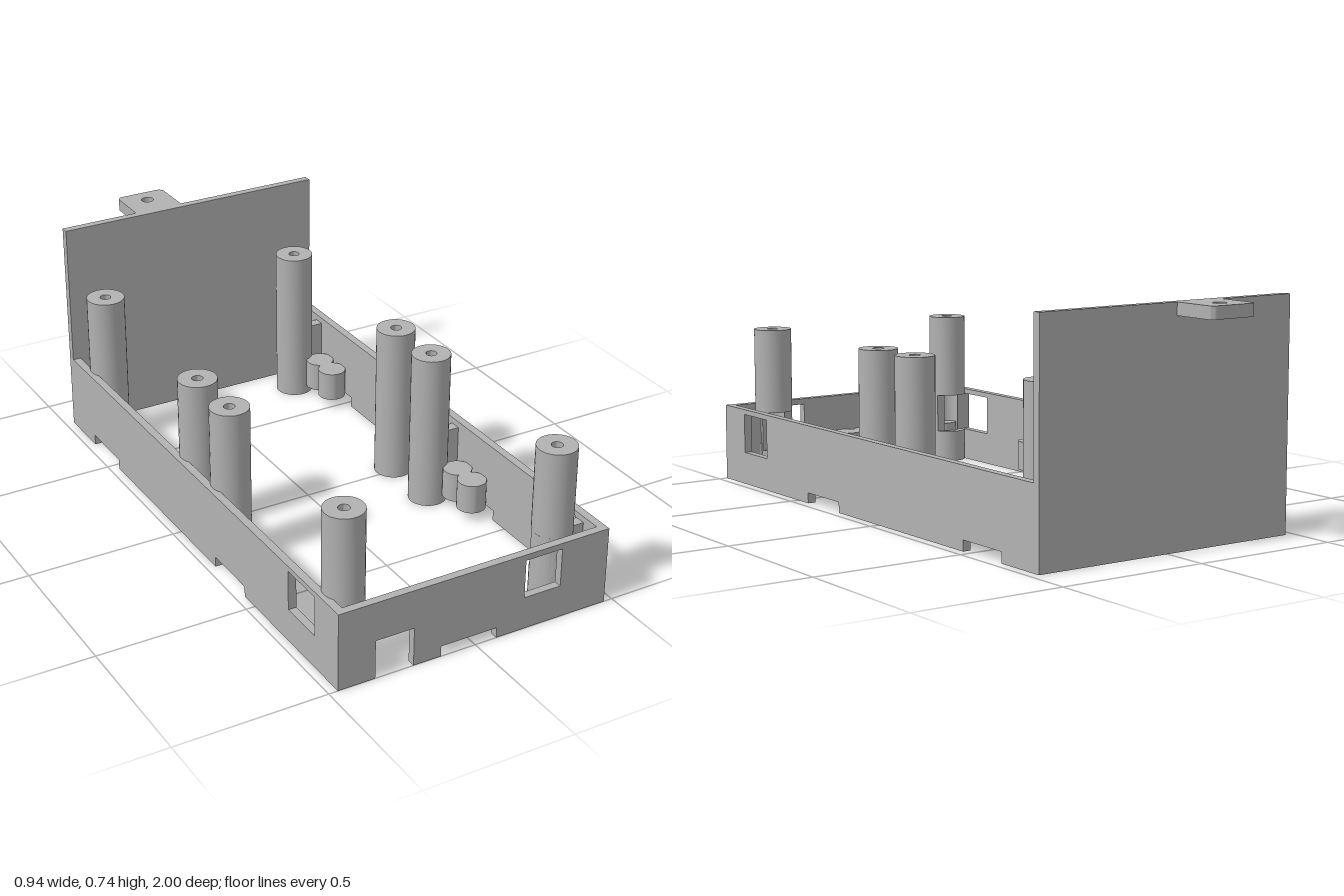
import * as THREE from 'three';
import { toCreasedNormals } from 'three/addons/utils/BufferGeometryUtils.js';

const W = 0.47, T = 0.027, WALL_H = 0.26;
const POST_R = 0.064, BORE_R = 0.038, POST_TOP = 0.53;
const CUT_LOW = 0.11, CUT_HIGH = 0.243, CUT_Z = 0.865;

export function createModel() {
  const group = new THREE.Group();
  const grey = new THREE.MeshStandardMaterial({ color: 0xb2b2b2 });

  function add(name, geometry, x = 0, y = 0, z = 0) {
    const mesh = new THREE.Mesh(geometry, grey);
    mesh.name = name;
    mesh.position.set(x, y, z);
    group.add(mesh);
    return mesh;
  }
  function box(name, x0, x1, y0, y1, z0, z1) {
    add(name, new THREE.BoxGeometry(x1 - x0, y1 - y0, z1 - z0), (x0 + x1) / 2, (y0 + y1) / 2, (z0 + z1) / 2);
  }
  const outline = (pairs) => pairs.map(([a, b]) => new THREE.Vector2(a, b));
  const extrude = (shape, depth) =>
    toCreasedNormals(new THREE.ExtrudeGeometry(shape, { depth, bevelEnabled: false, curveSegments: 24 }), 0.6);
  const turned = (profile) => toCreasedNormals(new THREE.LatheGeometry(outline(profile), 32), 0.6);

  // Wall panel with notches [start, end, height] along its foot and one window
  function wallPanel(start, end, notches, [wx0, wx1, wy0, wy1]) {
    const pts = [[start, 0]];
    for (const [a, b, h] of notches) pts.push([a, 0], [a, h], [b, h], [b, 0]);
    pts.push([end, 0], [end, WALL_H], [start, WALL_H]);
    const shape = new THREE.Shape(outline(pts));
    shape.holes.push(new THREE.Path(outline([[wx0, wy0], [wx0, wy1], [wx1, wy1], [wx1, wy0]])));
    return extrude(shape, T);
  }

  // Frame walls
  add('frontWall', wallPanel(-W, W,
    [[-0.345, -0.215, 0.13], [-0.12, 0.075, 0.035]], [0.17, 0.3, CUT_LOW, 0.24]), 0, 0, 1 - T);
  for (const [name, x] of [['leftWall', W], ['rightWall', -W + T]]) {
    const side = wallPanel(-0.82, 1 - T,
      [[-0.665, -0.47, 0.035], [0.24, 0.435, 0.035]], [0.71, CUT_Z, CUT_LOW, CUT_HIGH]);
    side.rotateY(-Math.PI / 2);
    add(name, side, x);
  }
  box('backPanel', -W, W, 0, 0.743, -0.847, -0.82);

  // Mounting tab with rounded outer corners and a screw hole
  const tab = new THREE.Shape();
  const r = 0.02, tx0 = -0.197, tx1 = -0.026;
  tab.moveTo(tx0, 0.84);
  tab.lineTo(tx1, 0.84);
  tab.absarc(tx1 - r, 1 - r, r, 0, Math.PI / 2, false);
  tab.absarc(tx0 + r, 1 - r, r, Math.PI / 2, Math.PI, false);
  tab.closePath();
  tab.holes.push(new THREE.Path().absarc(-0.111, 0.935, 0.021, 0, Math.PI * 2, true));
  add('mountingTab', extrude(tab, 0.04).rotateX(-Math.PI / 2), 0, 0.703, 0);

  // Tall post: small hole at the top, wider bore from below
  const post = (y0) => turned([
    [BORE_R, y0], [POST_R, y0], [POST_R, POST_TOP], [0.018, POST_TOP],
    [0.018, 0.48], [BORE_R, 0.48], [BORE_R, y0],
  ]);
  // Ring section of a post that the side window passes through
  function cutSection(offset) {
    const a = Math.asin(offset / POST_R), b = Math.asin(offset / BORE_R);
    const shape = new THREE.Shape();
    shape.absarc(0, 0, POST_R, Math.PI - a, Math.PI * 2 + a, false);
    shape.absarc(0, 0, BORE_R, Math.PI * 2 + b, Math.PI - b, true);
    shape.closePath();
    return extrude(shape, CUT_HIGH - CUT_LOW).rotateX(-Math.PI / 2);
  }
  for (const x of [-0.39, 0.34]) {
    for (const z of [-0.7, -0.015, 0.2]) add('post', post(0), x, 0, z);
    const z = 0.89;
    add('frontPostFoot', turned([
      [BORE_R, 0], [POST_R, 0], [POST_R, CUT_LOW], [BORE_R, CUT_LOW], [BORE_R, 0],
    ]), x, 0, z);
    add('frontPostCutSection', cutSection(z - CUT_Z), x, CUT_LOW, z);
    add('frontPost', post(CUT_HIGH), x, 0, z);
  }
  // Ribs tying the left posts to the wall
  for (const z of [-0.7, -0.015, 0.2, 0.89]) box('postRib', 0.395, 0.45, 0, 0.24, z - 0.018, z + 0.018);

  // Short screw bosses, drilled from below
  const boss = (y0) => turned([
    [0, 0.11], [0.014, 0.11], [0.014, y0], [0.048, y0], [0.048, 0.135], [0, 0.135],
  ]);
  for (const s of [-1, 1]) {
    for (const z of [-0.615, -0.53, 0.288, 0.373]) add('sideBoss', boss(0.035), s * 0.398, 0, z);
    add('backCornerBoss', boss(0), s * 0.387, 0, -0.77);
    add('frontCornerBoss', boss(0), s * 0.387, 0, 0.915);
    box('backBossRib', s * 0.387 - 0.015, s * 0.387 + 0.015, 0, 0.135, -0.83, -0.805);
    box('frontBossRib', s * 0.387 - 0.015, s * 0.387 + 0.015, 0, 0.135, 0.955, 0.98);
  }
  for (const x of [-0.065, 0.02]) add('frontBoss', boss(0.035), x, 0, 0.925);

  return group;
}
